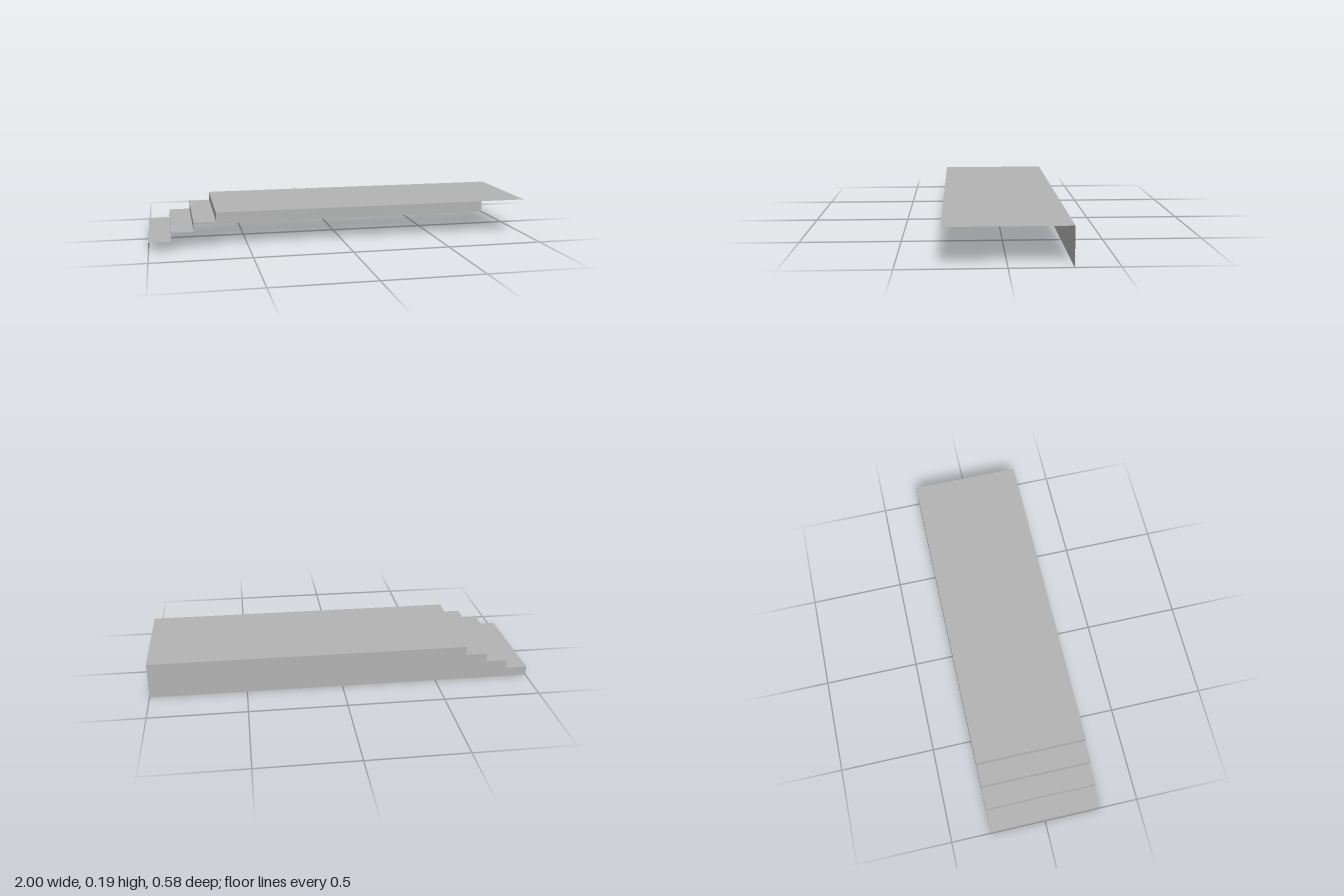
import * as THREE from 'three';

const DEPTH = 0.584;
// Rising step corners: each entry is [x of riser, height of tread above it]
const STEPS = [[-1, 0.049], [-0.887, 0.095], [-0.775, 0.141], [-0.662, 0.1875]];
const END_X = 1;

export function createModel() {
  const model = new THREE.Group();
  model.name = 'steppedPlatform';
  const grey = new THREE.MeshStandardMaterial({ color: 0xb3b3b3, side: THREE.DoubleSide });
  grey.name = 'plainGrey';

  const add = (name, geometry) => {
    const mesh = new THREE.Mesh(geometry, grey);
    mesh.name = name;
    model.add(mesh);
  };

  // Open shell: risers face -x, treads face up, the last tread is the deck
  const outline = new THREE.Shape().moveTo(END_X, 0).lineTo(-1, 0);
  let floor = 0;
  STEPS.forEach(([x, top], i) => {
    const nextX = i + 1 < STEPS.length ? STEPS[i + 1][0] : END_X;
    add(`riser${i + 1}`, new THREE.PlaneGeometry(DEPTH, top - floor)
      .rotateY(-Math.PI / 2).translate(x, (top + floor) / 2, 0));
    add(i + 1 < STEPS.length ? `tread${i + 1}` : 'deck', new THREE.PlaneGeometry(nextX - x, DEPTH)
      .rotateX(-Math.PI / 2).translate((x + nextX) / 2, top, 0));
    outline.lineTo(x, top).lineTo(nextX, top);
    floor = top;
  });

  // Stepped back wall, mirrored in x so that its front faces -z
  const mirrored = new THREE.Shape(outline.getPoints().map(p => new THREE.Vector2(-p.x, p.y)));
  add('backWall', new THREE.ShapeGeometry(mirrored).rotateY(Math.PI).translate(0, 0, -DEPTH / 2));

  return model;
}
